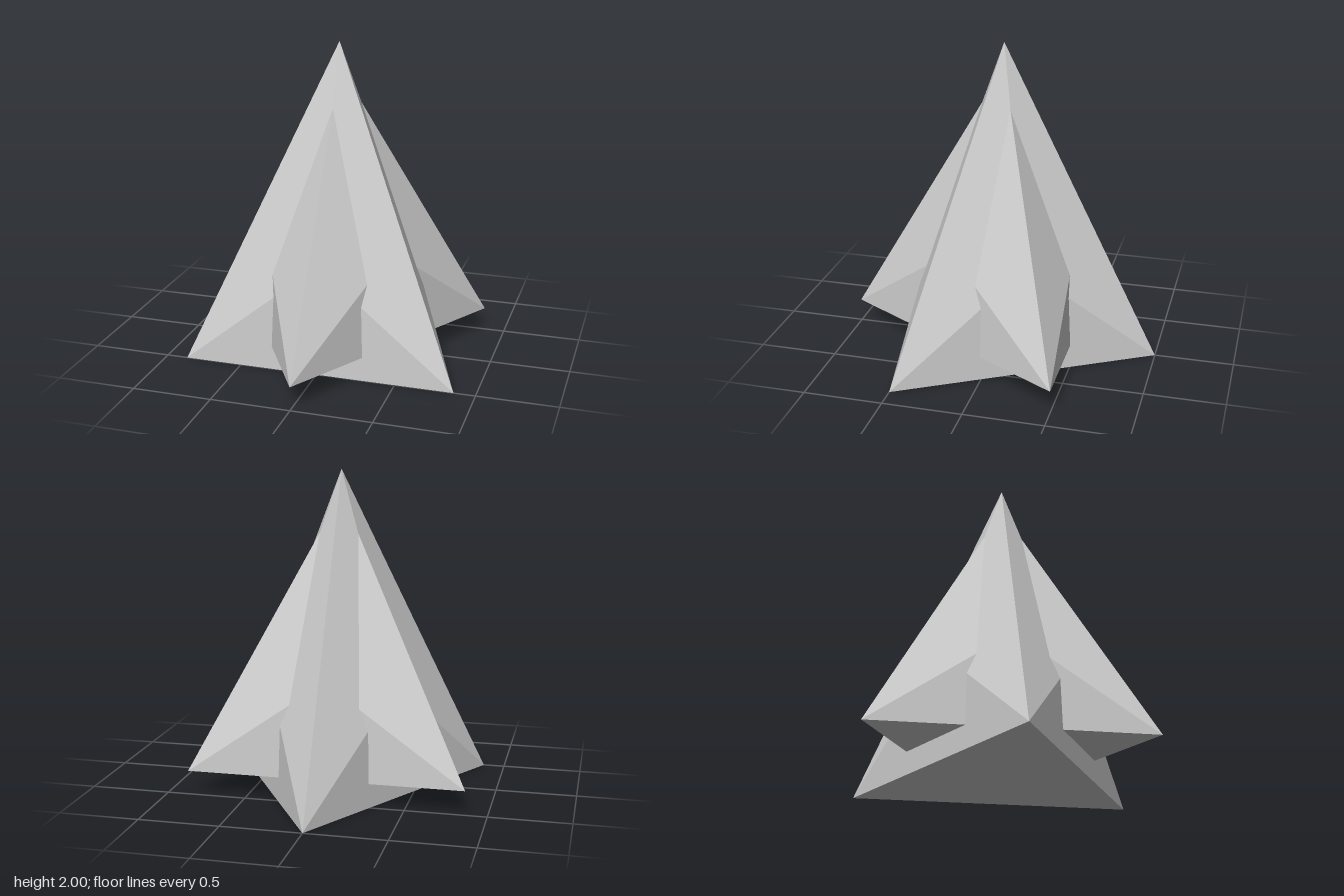
import * as THREE from 'three';

// Three-sided spike: each side is raised to a ridge point near its middle.
function spike(name, turn, baseY, apexY, bulge) {
  const h = apexY - baseY;
  const slant = Math.hypot(h, 0.5);
  const ridgeR = 1 / 3 + (bulge * h) / slant;
  const ridgeY = baseY + h / 3 + (bulge * 0.5) / slant;
  const at = (angle, r, y) => [Math.sin(angle) * r, y, Math.cos(angle) * r];

  const apex = [0, apexY, 0];
  const third = (Math.PI * 2) / 3;
  const corner = (i) => at(turn + (i - 0.5) * third, 1, baseY);
  const points = [];
  for (let i = 0; i < 3; i++) {
    const left = corner(i);
    const right = corner(i + 1);
    const ridge = at(turn + i * third, ridgeR, ridgeY);
    points.push(left, right, ridge, right, apex, ridge, apex, left, ridge);
  }
  // Flat underside
  points.push(corner(2), corner(1), corner(0));

  const geometry = new THREE.BufferGeometry();
  geometry.setAttribute('position', new THREE.Float32BufferAttribute(points.flat(), 3));
  geometry.computeVertexNormals();
  const material = new THREE.MeshStandardMaterial({ color: 0xcccccc, flatShading: true });
  const mesh = new THREE.Mesh(geometry, material);
  mesh.name = name;
  return mesh;
}

export function createModel() {
  const group = new THREE.Group();
  group.name = 'starSpire';
  // Tall spike with a flat side to the front, and a shorter raised one turned half way round
  group.add(spike('mainSpike', 0, 0, 2, 0.14));
  group.add(spike('crossSpike', Math.PI, 0.15, 1.85, 0.14));
  return group;
}
